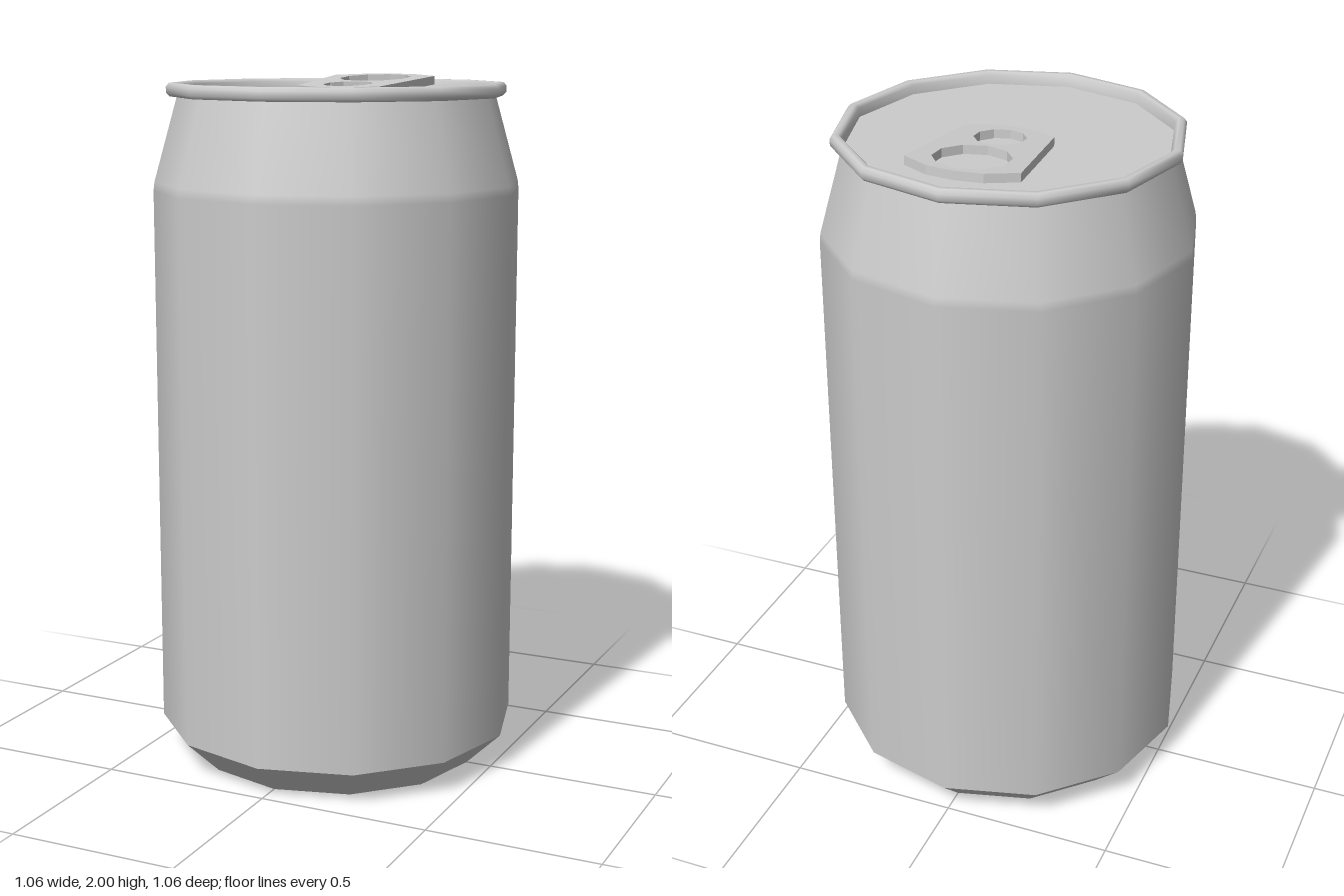
import * as THREE from 'three';

const SIDES = 12;
const material = new THREE.MeshStandardMaterial({ color: 0xcccccc });

// Revolve a bottom-to-top profile of [radius, height] pairs
function lathe(name, profile) {
  const points = profile.map(([r, y]) => new THREE.Vector2(r, y));
  const mesh = new THREE.Mesh(new THREE.LatheGeometry(points, SIDES), material);
  mesh.name = name;
  return mesh;
}

// Ten-sided hole, given in plan with y pointing to the back
function hole(y, r) {
  const points = [];
  for (let i = 0; i < 10; i++) {
    const a = -i * Math.PI / 5;
    points.push(new THREE.Vector2(Math.sin(a) * r, y + Math.cos(a) * r));
  }
  return new THREE.Path(points);
}

// Pull tab: tapered plate with two holes, tilted up towards the back
function createTab() {
  const half = [[0, -0.036], [0.065, -0.026], [0.13, 0.008], [0.163, 0.333], [0.08, 0.382], [0, 0.393]];
  const mirrored = half.slice(1, -1).reverse().map(([x, y]) => [-x, y]);
  const shape = new THREE.Shape([...half, ...mirrored].map(([x, y]) => new THREE.Vector2(x, y)));
  shape.holes.push(hole(0.266, 0.106), hole(0.073, 0.072));
  const geometry = new THREE.ExtrudeGeometry(shape, { depth: 0.025, bevelEnabled: false });
  geometry.rotateX(-Math.PI / 2);
  const tab = new THREE.Mesh(geometry, material);
  tab.name = 'pullTab';
  tab.position.y = 1.9485;
  tab.rotation.x = 0.068;
  return tab;
}

export function createModel() {
  const can = new THREE.Group();
  can.name = 'drinkCan';
  can.add(
    lathe('base', [[0, 0], [0.425, 0]]),
    lathe('baseBevel', [[0.425, 0], [0.528, 0.1]]),
    // Wall and shoulder share smooth normals across a narrow band
    lathe('body', [[0.528, 0.1], [0.528, 1.68], [0.525, 1.705], [0.456, 1.95]]),
    // Rolled rim, ending in the inner wall
    lathe('rim', [[0.452, 1.945], [0.478, 1.946], [0.487, 1.955], [0.488, 1.973],
      [0.479, 1.984], [0.464, 1.984], [0.455, 1.975], [0.452, 1.95]]),
    lathe('lid', [[0.452, 1.95], [0, 1.95]]),
    createTab()
  );
  return can;
}
